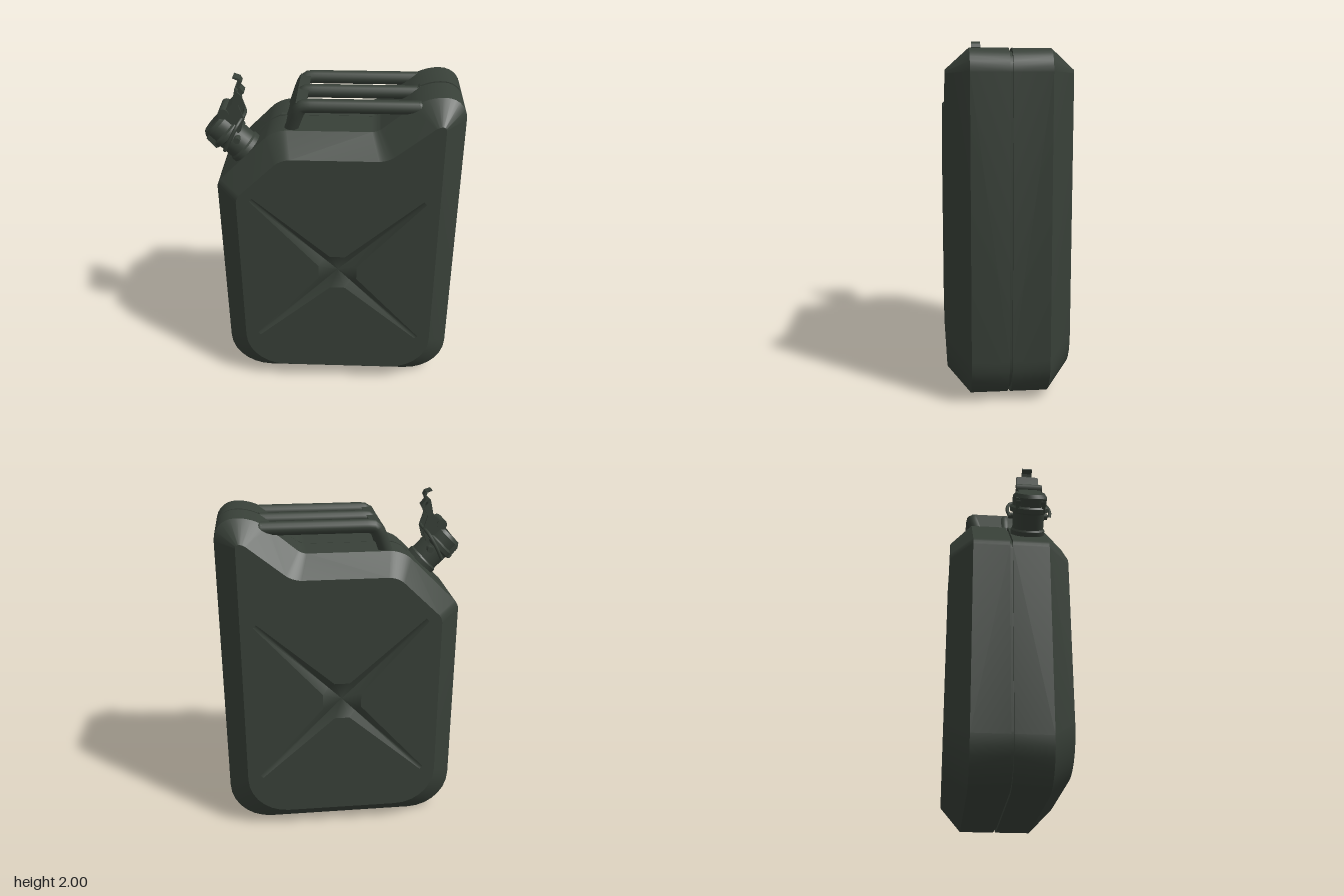
import * as THREE from 'three';
import { toCreasedNormals } from 'three/addons/utils/BufferGeometryUtils.js';

const paint = new THREE.MeshStandardMaterial({ color: 0x384038 });
paint.name = 'dark olive paint';

function add(parent, name, geometry, x = 0, y = 0, z = 0) {
  const mesh = new THREE.Mesh(geometry, paint);
  mesh.name = name;
  mesh.position.set(x, y, z);
  parent.add(mesh);
  return mesh;
}

// Closed outline with every corner [x, y, radius] rounded by the same number of steps
function roundedOutline(corners, steps = 7) {
  const points = [];
  corners.forEach(([x, y, r], i) => {
    const p = new THREE.Vector2(x, y);
    const reach = (c) => new THREE.Vector2(c[0], c[1]).sub(p).setLength(r).add(p);
    const a = reach(corners[(i + corners.length - 1) % corners.length]);
    const b = reach(corners[(i + 1) % corners.length]);
    const curve = new THREE.CubicBezierCurve(a, a.clone().lerp(p, 0.56), b.clone().lerp(p, 0.56), b);
    points.push(...curve.getPoints(steps));
  });
  return points;
}

function fromTriangles(triangles, crease) {
  const geometry = new THREE.BufferGeometry();
  geometry.setAttribute('position', new THREE.Float32BufferAttribute(triangles.flat(2), 3));
  geometry.computeVertexNormals();
  return toCreasedNormals(geometry, crease);
}

// Extrusion of a side profile, centred on z
function plate(points, width, bevel = 0) {
  const shape = new THREE.Shape(points.map(([x, y]) => new THREE.Vector2(x, y)));
  const geometry = new THREE.ExtrudeGeometry(shape, {
    depth: width, bevelEnabled: bevel > 0, bevelSize: bevel, bevelThickness: bevel, bevelSegments: 1,
  });
  return geometry.translate(0, 0, -width / 2);
}

const FACE_Z = 0.34;
const outer = roundedOutline([
  [-0.66, 0.005, 0.25], [0.715, 0.005, 0.25], [0.715, 1.932, 0.12], [0.49, 1.932, 0.09],
  [0.24, 1.725, 0.03], [-0.325, 1.725, 0.07], [-0.66, 1.395, 0.03],
]);
const inner = roundedOutline([
  [-0.54, 0.125, 0.24], [0.6, 0.125, 0.24], [0.6, 1.82, 0.02], [0.56, 1.82, 0.02],
  [0.3, 1.61, 0.05], [-0.28, 1.61, 0.05], [-0.54, 1.36, 0.03],
]);

// Bevel, side wall and centre seam of one half
function shellGeometry() {
  const rings = [[1, FACE_Z], [0, 0.215], [0, 0.008], [0.17, 0.008], [0.17, 0]].map(([t, z]) =>
    outer.map((p, i) => [p.x + (inner[i].x - p.x) * t, p.y + (inner[i].y - p.y) * t, z]));
  const triangles = [];
  for (let k = 0; k < rings.length - 1; k++) {
    outer.forEach((_, i) => {
      const j = (i + 1) % outer.length;
      const a = rings[k][i], b = rings[k][j], c = rings[k + 1][j], d = rings[k + 1][i];
      triangles.push([d, c, b], [d, b, a]);
    });
  }
  return fromTriangles(triangles, 0.5);
}

// Flat side panel with a star-shaped hole, and the pressed cross that fills it
function panelGeometries() {
  const cx = 0.03, cy = 0.865;
  const arms = [0, 1, 2, 3].map((i) => {
    const angle = Math.PI / 4 + i * Math.PI / 2;
    const at = (along, side, depth) => [
      cx + Math.cos(angle) * along - Math.sin(angle) * side,
      cy + Math.sin(angle) * along + Math.cos(angle) * side,
      FACE_Z - depth,
    ];
    return {
      right: at(0.11, -0.048, 0), left: at(0.11, 0.048, 0), ridge: at(0.11, 0, 0.03),
      tipRight: at(0.69, -0.012, 0), tipLeft: at(0.69, 0.012, 0), tip: at(0.68, 0, 0.006),
    };
  });
  const centre = [cx, cy, FACE_Z - 0.035];
  const triangles = [];
  arms.forEach((a, i) => {
    const n = arms[(i + 1) % 4];
    triangles.push(
      [a.ridge, a.right, a.tipRight], [a.ridge, a.tipRight, a.tip], [a.tip, a.tipRight, a.tipLeft],
      [a.ridge, a.tip, a.tipLeft], [a.ridge, a.tipLeft, a.left],
      [centre, a.ridge, a.left], [centre, a.left, n.right], [centre, n.right, n.ridge]);
  });
  const shape = new THREE.Shape(inner);
  const rim = arms.flatMap((a) => [a.right, a.tipRight, a.tipLeft, a.left]);
  shape.holes.push(new THREE.Path(rim.map(([x, y]) => new THREE.Vector2(x, y))));
  return [new THREE.ShapeGeometry(shape).translate(0, 0, FACE_Z), fromTriangles(triangles, 0.9)];
}

function createHandle() {
  const handle = new THREE.Group();
  handle.name = 'carryHandle';
  // Three parallel bars, bent down at the spout end
  for (const side of [-1, 0, 1]) {
    const path = new THREE.CatmullRomCurve3([
      [0.46, 1.868, 0.203], [0, 1.868, 0.203], [-0.13, 1.868, 0.203], [-0.172, 1.86, 0.2],
      [-0.195, 1.82, 0.192], [-0.235, 1.71, 0.165],
    ].map(([x, y, z]) => new THREE.Vector3(x, y, z * side)), false, 'catmullrom', 0.3);
    add(handle, 'handleBar', new THREE.TubeGeometry(path, 40, 0.038, 14));
    add(handle, 'handleBarEnd', new THREE.SphereGeometry(0.038, 14, 8), 0.46, 1.868, 0.203 * side);
  }
  // Leaning cross wall joining the bars
  const wall = new THREE.BoxGeometry(0.06, 0.17, 0.38);
  const p = wall.attributes.position;
  for (let i = 0; i < p.count; i++) {
    p.setX(i, p.getX(i) + p.getY(i) * 0.4);
    p.setZ(i, p.getZ(i) * (1 + p.getY(i)));
  }
  wall.computeVertexNormals();
  add(handle, 'handleFoot', wall, -0.205, 1.8, 0);
  return handle;
}

function createSpout() {
  const spout = new THREE.Group();
  spout.name = 'spout';
  spout.position.z = 0.11;

  // Neck and cap, square to the sloping shoulder
  const neck = new THREE.Group();
  neck.name = 'neckAndCap';
  neck.position.set(-0.495, 1.565, 0);
  neck.rotation.z = Math.PI / 4;
  const profile = [[0.1, -0.05], [0.1, 0.02], [0.092, 0.03], [0.092, 0.12], [0.112, 0.13],
    [0.112, 0.155], [0.1, 0.165], [0.1, 0.215], [0.085, 0.235], [0, 0.235]];
  const lathe = new THREE.LatheGeometry(profile.map(([x, y]) => new THREE.Vector2(x, y)), 28);
  add(neck, 'neck', toCreasedNormals(lathe, 0.5));
  spout.add(neck);

  // Locking lever: two cheeks, a top web and a curled thumb tab
  const cheek = [[-0.69, 1.7], [-0.62, 1.66], [-0.54, 1.67], [-0.51, 1.7], [-0.49, 1.77],
    [-0.515, 1.85], [-0.49, 1.9], [-0.53, 1.94], [-0.548, 1.86], [-0.6, 1.81]];
  for (const side of [-1, 1]) {
    add(spout, 'leverCheek', plate(cheek, 0.012), 0, 0, side * 0.06);
    add(spout, 'hingeLug', plate([[-0.7, 1.66], [-0.65, 1.6], [-0.6, 1.64], [-0.65, 1.72]], 0.02), 0, 0, side * 0.075);
  }
  add(spout, 'leverWeb', plate([[-0.69, 1.7], [-0.68, 1.69], [-0.59, 1.79], [-0.535, 1.85],
    [-0.515, 1.93], [-0.53, 1.945], [-0.548, 1.86], [-0.6, 1.81]], 0.12));
  add(spout, 'thumbTab', plate([[-0.53, 1.945], [-0.49, 1.9], [-0.485, 1.91], [-0.508, 1.94],
    [-0.495, 1.965], [-0.505, 1.988], [-0.54, 2], [-0.543, 1.99], [-0.515, 1.98],
    [-0.51, 1.965], [-0.52, 1.95]], 0.06));

  // Pivot pins running across the lever
  for (const [x, y, r, length] of [[-0.6, 1.8, 0.03, 0.15], [-0.53, 1.66, 0.018, 0.23], [-0.67, 1.66, 0.025, 0.17]]) {
    add(spout, 'pivotPin', new THREE.CylinderGeometry(r, r, length, 14).rotateX(Math.PI / 2), x, y, 0);
  }
  // Wire bail looping round the cap
  const bail = new THREE.CatmullRomCurve3([
    [-0.6, 1.6, -0.115], [-0.56, 1.68, -0.125], [-0.52, 1.75, -0.1], [-0.49, 1.78, 0],
    [-0.52, 1.75, 0.1], [-0.56, 1.68, 0.125], [-0.6, 1.6, 0.115],
  ].map((v) => new THREE.Vector3(...v)));
  add(spout, 'wireBail', new THREE.TubeGeometry(bail, 36, 0.01, 8));
  return spout;
}

export function createModel() {
  const model = new THREE.Group();
  model.name = 'fuelCan';

  // Two mirrored pressed halves
  const shell = shellGeometry();
  const [panel, cross] = panelGeometries();
  for (const side of [1, -1]) {
    const half = new THREE.Group();
    half.name = side > 0 ? 'frontHalf' : 'backHalf';
    half.scale.z = side;
    add(half, 'shell', shell);
    add(half, 'sidePanel', panel);
    add(half, 'pressedCross', cross);
    model.add(half);
  }
  // Strip closing the seam below the handle
  add(model, 'seamCover', plate([[-0.3, 1.68], [0.26, 1.68], [0.47, 1.85], [0.47, 1.914],
    [0.24, 1.726], [-0.3, 1.726]], 0.03));

  model.add(createHandle(), createSpout());
  return model;
}
